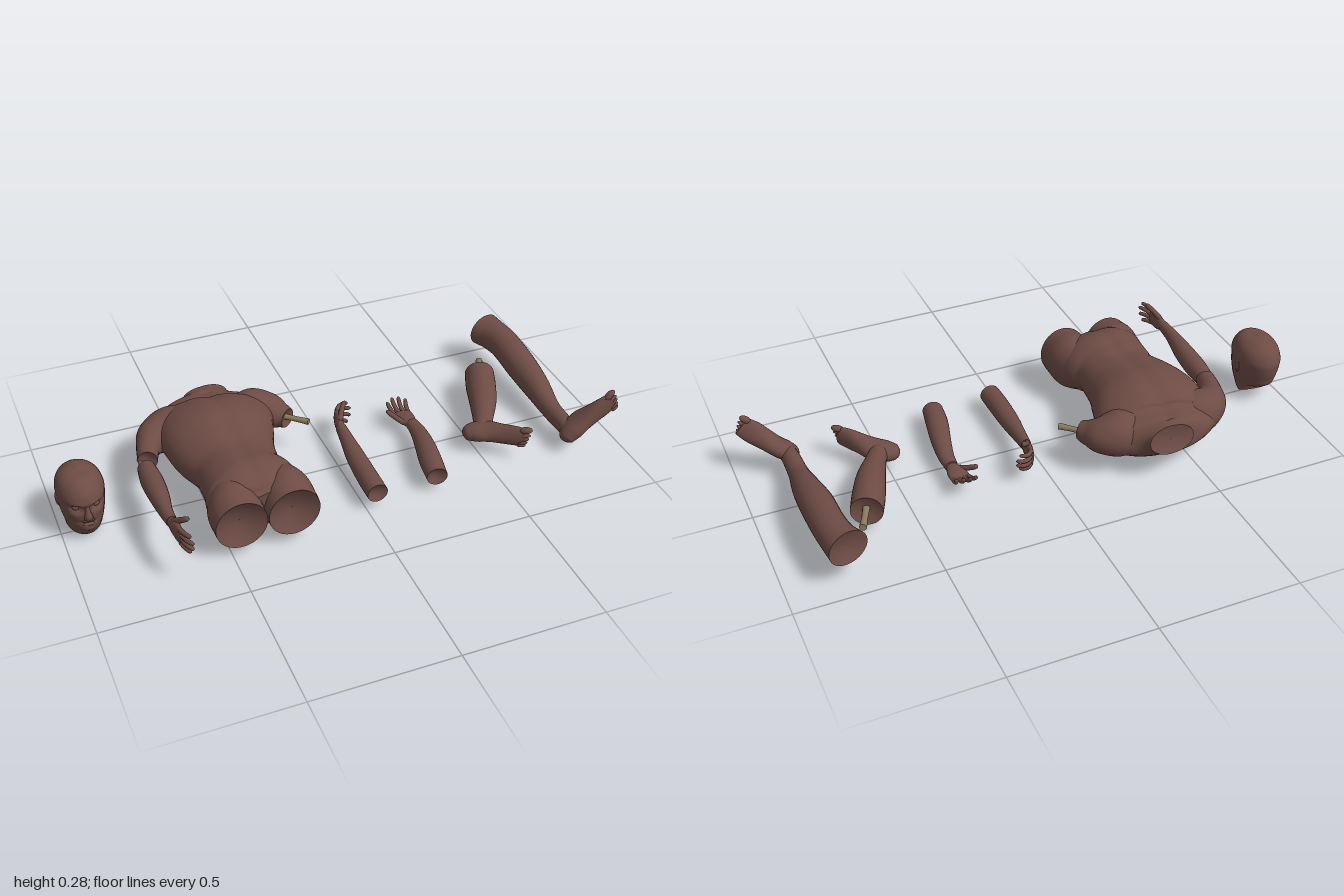
import * as THREE from 'three';

const V = (x, y, z) => new THREE.Vector3(x, y, z);
const skin = new THREE.MeshStandardMaterial({ color: 0x6e4c45 });
skin.name = 'skin';
const bone = new THREE.MeshStandardMaterial({ color: 0x8c7b5e });
bone.name = 'bone';

// Smooth body through elliptical sections [x, y, z, sideRadius, upRadius].
// dent hollows the flat start and end caps; tweak moves single vertices.
function loft(name, secs, { up = V(0, 1, 0), seg = 24, sub = 5, dent = [0, 0], tweak = null, mat = skin } = {}) {
  const path = new THREE.CatmullRomCurve3(secs.map(s => V(s[0], s[1], s[2])), false, 'catmullrom', 0.5);
  const size = new THREE.CatmullRomCurve3(secs.map(s => V(s[3], s[4], 0)), false, 'catmullrom', 0.5);
  const n = (secs.length - 1) * sub, pos = [], idx = [];
  const ring = (i, scale, shift) => {
    const p = path.getPoint(i / n), r = size.getPoint(i / n), t = path.getTangent(i / n);
    const s = up.clone().cross(t).normalize(), u = t.clone().cross(s);
    p.addScaledVector(t, shift);
    for (let j = 0; j < seg; j++) {
      const a = j / seg * Math.PI * 2;
      const v = p.clone().addScaledVector(s, Math.cos(a) * Math.max(r.x, 0.001) * scale)
        .addScaledVector(u, Math.sin(a) * Math.max(r.y, 0.001) * scale);
      if (tweak) tweak(v);
      pos.push(v.x, v.y, v.z);
    }
  };
  const join = (a, b) => {
    for (let j = 0; j < seg; j++) {
      const k = (j + 1) % seg;
      idx.push(a + j, a + k, b + j, a + k, b + k, b + j);
    }
  };
  for (let i = 0; i <= n; i++) {
    ring(i, 1, 0);
    if (i) join((i - 1) * seg, i * seg);
  }
  [[0, 1], [n, -1]].forEach(([i, sign], e) => {
    const scales = [1, 0.88, 0.6, 0.3, 0.01], base = pos.length / 3;
    scales.forEach((sc, q) => {
      ring(i, sc, sign * dent[e] * (1 - sc * sc));
      if (!q) return;
      const a = base + (q - 1) * seg, b = base + q * seg;
      e === 0 ? join(b, a) : join(a, b);
    });
  });
  const g = new THREE.BufferGeometry();
  g.setAttribute('position', new THREE.Float32BufferAttribute(pos, 3));
  g.setIndex(idx);
  g.computeVertexNormals();
  const m = new THREE.Mesh(g, mat);
  m.name = name;
  return m;
}

function blob(name, p, s) {
  const m = new THREE.Mesh(new THREE.SphereGeometry(1, 16, 12), skin);
  m.position.set(...p);
  m.scale.set(...s);
  m.name = name;
  return m;
}

function boneRod(a, b, r) {
  const mid = [0, 1, 2].map(i => (a[i] + b[i]) / 2);
  return loft('bone', [[...a, r, r], [...mid, r * 0.85, r * 0.85], [...b, r, r]], { seg: 10, mat: bone, up: V(0, 1, 0.01) });
}

// Local z becomes forward and local y becomes up.
function place(group, p, forward, up) {
  const z = forward.clone().normalize(), x = up.clone().cross(z).normalize(), y = z.clone().cross(x);
  group.quaternion.setFromRotationMatrix(new THREE.Matrix4().makeBasis(x, y, z));
  group.position.set(...p);
  return group;
}

// Hand pointing along +z; fingers curl toward +y, thumb on the given side.
function hand(thumb, curl) {
  const g = new THREE.Group();
  g.name = 'hand';
  g.add(loft('palm', [[0, 0, -0.025, 0.02, 0.019], [0, 0, 0, 0.021, 0.016], [0, 0, 0.03, 0.032, 0.016],
    [0, 0, 0.06, 0.035, 0.013], [0, 0.001, 0.078, 0.03, 0.009], [0, 0.002, 0.084, 0.012, 0.003]], { seg: 18 }));
  const finger = (name, x, z, len, r, side, c0, c) => {
    const p = V(x, 0, z), secs = [[x, 0, z, r, r]];
    let ang = c0;
    [0.4, 0.3, 0.22, 0.08].forEach((f, i) => {
      ang += c;
      p.add(V(side * len * f, Math.sin(ang) * len * f, Math.cos(ang) * len * f));
      const q = r * [0.95, 0.9, 0.75, 0.15][i];
      secs.push([p.x, p.y, p.z, q, q]);
    });
    g.add(loft(name, secs, { seg: 10, sub: 4, up: V(1, 0, 0) }));
  };
  [0.062, 0.074, 0.07, 0.054].forEach((len, i) =>
    finger('finger', thumb * (0.026 - i * 0.0175), 0.072, len, 0.0085, thumb * (0.14 - i * 0.1), 0, curl * (1 + i * 0.12)));
  finger('thumb', thumb * 0.02, 0.018, 0.066, 0.0105, thumb * 0.65, 0.3, 0.1);
  return g;
}

// Foot pointing along +z with its sole at y = 0; big toe on -x.
function foot() {
  const g = new THREE.Group();
  g.name = 'foot';
  g.add(loft('footBody', [[0, 0.03, -0.057, 0.008, 0.01], [0, 0.034, -0.047, 0.024, 0.028], [0, 0.044, -0.015, 0.032, 0.044],
    [0, 0.046, 0.03, 0.033, 0.046], [0, 0.033, 0.08, 0.037, 0.033], [0, 0.021, 0.125, 0.041, 0.021],
    [0, 0.014, 0.16, 0.037, 0.013], [0, 0.011, 0.17, 0.03, 0.007]], { seg: 22 }));
  for (let i = 0; i < 5; i++) {
    const r = i ? 0.0085 - i * 0.0005 : 0.0125;
    g.add(blob('toe', [[-0.027, -0.007, 0.008, 0.022, 0.034][i], r, 0.172 - i * 0.005], [r, r, 0.024 - i * 0.002]));
  }
  return g;
}

function makeHead() {
  const g = new THREE.Group();
  g.name = 'head';
  const cx = -0.915;
  const bump = (v, x, y, sx, sy, amt) => {
    v.z += amt * Math.exp(-(((v.x - cx - x) / sx) ** 2) - ((v.y - y) / sy) ** 2);
  };
  g.add(loft('skull', [[cx, 0, -0.03, 0.06, 0.055], [cx, 0.022, -0.018, 0.063, 0.078], [cx, 0.05, -0.014, 0.069, 0.095],
    [cx, 0.08, -0.014, 0.075, 0.101], [cx, 0.12, -0.017, 0.079, 0.109], [cx, 0.155, -0.019, 0.08, 0.11],
    [cx, 0.19, -0.022, 0.067, 0.09], [cx, 0.211, -0.024, 0.041, 0.055], [cx, 0.22, -0.024, 0.004, 0.005]], {
    up: V(0, 0, 1), seg: 64, sub: 8, dent: [0.012, 0], tweak: v => {
      if (v.z < 0.01) return;
      for (const s of [-1, 1]) {
        bump(v, s * 0.032, 0.123, 0.019, 0.013, -0.018);  // eye socket
        bump(v, s * 0.03, 0.143, 0.024, 0.009, 0.005);    // brow
        bump(v, s * 0.045, 0.095, 0.018, 0.014, 0.005);   // cheekbone
      }
      bump(v, 0, 0.062, 0.026, 0.007, -0.01);             // mouth
      bump(v, 0, 0.03, 0.022, 0.012, 0.008);              // chin
    }
  }));
  g.add(loft('nose', [[cx, 0.136, 0.078, 0.007, 0.014], [cx, 0.115, 0.086, 0.009, 0.013], [cx, 0.096, 0.092, 0.013, 0.014],
    [cx, 0.086, 0.088, 0.015, 0.012], [cx, 0.08, 0.084, 0.006, 0.005]], { up: V(0, 0, 1), seg: 16 }));
  g.add(blob('upperLip', [cx, 0.069, 0.08, ], [0.022, 0.005, 0.008]), blob('lowerLip', [cx, 0.054, 0.079], [0.02, 0.006, 0.008]));
  for (const s of [-1, 1]) {
    g.add(blob('eye', [cx + s * 0.032, 0.122, 0.061], [0.014, 0.011, 0.012]));
    const ear = blob('ear', [cx + s * 0.077, 0.108, -0.022], [0.006, 0.026, 0.015]);
    ear.rotation.y = s * -0.25;
    g.add(ear);
  }
  return g;
}

function makeTorso() {
  const g = new THREE.Group();
  g.name = 'torso';
  // [z, centre x, half width, top, bottom]
  const rows = [[0.29, -0.378, 0.11, 0.18, 0.05], [0.26, -0.38, 0.155, 0.212, 0.02], [0.19, -0.387, 0.165, 0.241, 0.006],
    [0.13, -0.395, 0.148, 0.237, 0.012], [0.05, -0.395, 0.15, 0.232, 0.008], [-0.05, -0.402, 0.182, 0.246, 0],
    [-0.13, -0.4, 0.2, 0.256, 0], [-0.2, -0.392, 0.212, 0.238, 0], [-0.26, -0.385, 0.215, 0.212, 0.015],
    [-0.315, -0.38, 0.165, 0.198, 0.055], [-0.345, -0.376, 0.092, 0.194, 0.075], [-0.366, -0.376, 0.083, 0.192, 0.085]];
  g.add(loft('trunk', rows.map(([z, x, a, t, b]) => [x, (t + b) / 2, z, a, (t - b) / 2]), {
    seg: 56, dent: [0, 0.01], tweak: v => {
      // spine furrow above, centre furrow below
      const k = Math.exp(-(((v.x + 0.39) / 0.022) ** 2)) * (v.z < -0.32 ? 0.2 : 1);
      v.y += v.y > 0.13 ? -0.008 * k : 0.008 * k;
    }
  }));
  for (const s of [-1, 1]) {
    const x = -0.378 + s * 0.091;
    g.add(loft('thighStump', [[x, 0.106, 0.335, 0.089, 0.094], [x, 0.108, 0.3, 0.09, 0.099],
      [x, 0.113, 0.24, 0.087, 0.106], [x + s * -0.006, 0.12, 0.16, 0.06, 0.08]], { seg: 36, dent: [0.03, 0] }));
  }
  g.add(loft('shoulder', [[-0.3, 0.12, -0.22, 0.06, 0.075], [-0.24, 0.12, -0.235, 0.08, 0.085], [-0.185, 0.117, -0.22, 0.07, 0.068],
    [-0.15, 0.113, -0.185, 0.048, 0.046], [-0.132, 0.112, -0.16, 0.036, 0.036]], { dent: [0, 0.012] }));
  g.add(loft('shoulder', [[-0.47, 0.12, -0.22, 0.06, 0.075], [-0.54, 0.122, -0.235, 0.08, 0.085], [-0.605, 0.125, -0.21, 0.065, 0.066],
    [-0.645, 0.128, -0.15, 0.042, 0.046], [-0.666, 0.13, -0.08, 0.034, 0.036]], { dent: [0, 0.012] }));
  g.add(boneRod([-0.15, 0.112, -0.185], [-0.07, 0.113, -0.11], 0.012));
  return g;
}

// Each arm: forearm sections from the cut end to the wrist, then a hand.
function makeArm(name, secs, at, forward, palm, thumb, curl) {
  const g = new THREE.Group();
  g.name = name;
  g.add(loft('forearm', secs, { dent: [0.012, 0] }), place(hand(thumb, curl), at, forward, palm));
  return g;
}

function makeLeg(name, secs, at, forward, up) {
  const g = new THREE.Group();
  g.name = name;
  g.add(loft('calf', secs, { seg: 30, dent: [0.014, 0] }), place(foot(), at, forward, up));
  return g;
}

export function createModel() {
  const model = new THREE.Group();
  model.add(makeHead(), makeTorso());

  const raised = makeArm('outerArm', [[-0.678, 0.115, -0.06, 0.031, 0.034], [-0.68, 0.12, 0.02, 0.038, 0.04],
    [-0.682, 0.13, 0.12, 0.034, 0.036], [-0.686, 0.14, 0.21, 0.024, 0.027], [-0.684, 0.147, 0.28, 0.018, 0.022]],
  [-0.684, 0.147, 0.283], V(0.08, 0, 1), V(1, 0, 0), -1, 0.12);
  raised.add(boneRod([-0.688, 0.12, -0.02], [-0.69, 0.12, -0.11], 0.008), boneRod([-0.668, 0.112, -0.02], [-0.664, 0.112, -0.1], 0.007));

  const curled = makeArm('curledArm', [[0.037, 0.038, 0.268, 0.037, 0.036], [0.037, 0.041, 0.18, 0.037, 0.038],
    [0.04, 0.046, 0.07, 0.034, 0.034], [0.046, 0.054, -0.03, 0.025, 0.027], [0.05, 0.06, -0.1, 0.019, 0.022]],
  [0.05, 0.06, -0.098], V(0.15, 0, -1), V(1, 0, 0), 1, 0.55);

  const open = makeArm('openArm', [[0.265, 0.036, 0.258, 0.037, 0.035], [0.28, 0.039, 0.17, 0.04, 0.038],
    [0.3, 0.037, 0.08, 0.036, 0.034], [0.315, 0.032, -0.01, 0.029, 0.025], [0.317, 0.028, -0.07, 0.024, 0.02]],
  [0.315, 0.026, -0.07], V(-0.08, 0, -1), V(0, 1, 0), 1, 0.26);

  const shin = makeLeg('shortLeg', [[0.668, 0.062, -0.225, 0.055, 0.055], [0.637, 0.06, -0.15, 0.056, 0.057],
    [0.6, 0.058, -0.06, 0.05, 0.05], [0.555, 0.052, 0.03, 0.037, 0.037], [0.53, 0.048, 0.075, 0.034, 0.033], [0.51, 0.045, 0.11, 0.03, 0.03]],
  [0.487, 0.046, 0.125], V(0.84, 0.14, 0.54), V(0.54, 0, -0.84));
  shin.add(boneRod([0.66, 0.064, -0.2], [0.705, 0.066, -0.302], 0.013));

  const leg = makeLeg('longLeg', [[0.79, 0.113, -0.432, 0.07, 0.062], [0.804, 0.112, -0.38, 0.06, 0.06], [0.814, 0.11, -0.3, 0.057, 0.059],
    [0.815, 0.096, -0.17, 0.057, 0.058], [0.818, 0.074, -0.05, 0.048, 0.053], [0.815, 0.053, 0.06, 0.036, 0.038],
    [0.815, 0.05, 0.15, 0.032, 0.036], [0.82, 0.05, 0.22, 0.03, 0.032]],
  [0.828, 0.061, 0.256], V(0.74, 0.67, 0), V(0, 0, -1));

  model.add(raised, curled, open, shin, leg);
  return model;
}
